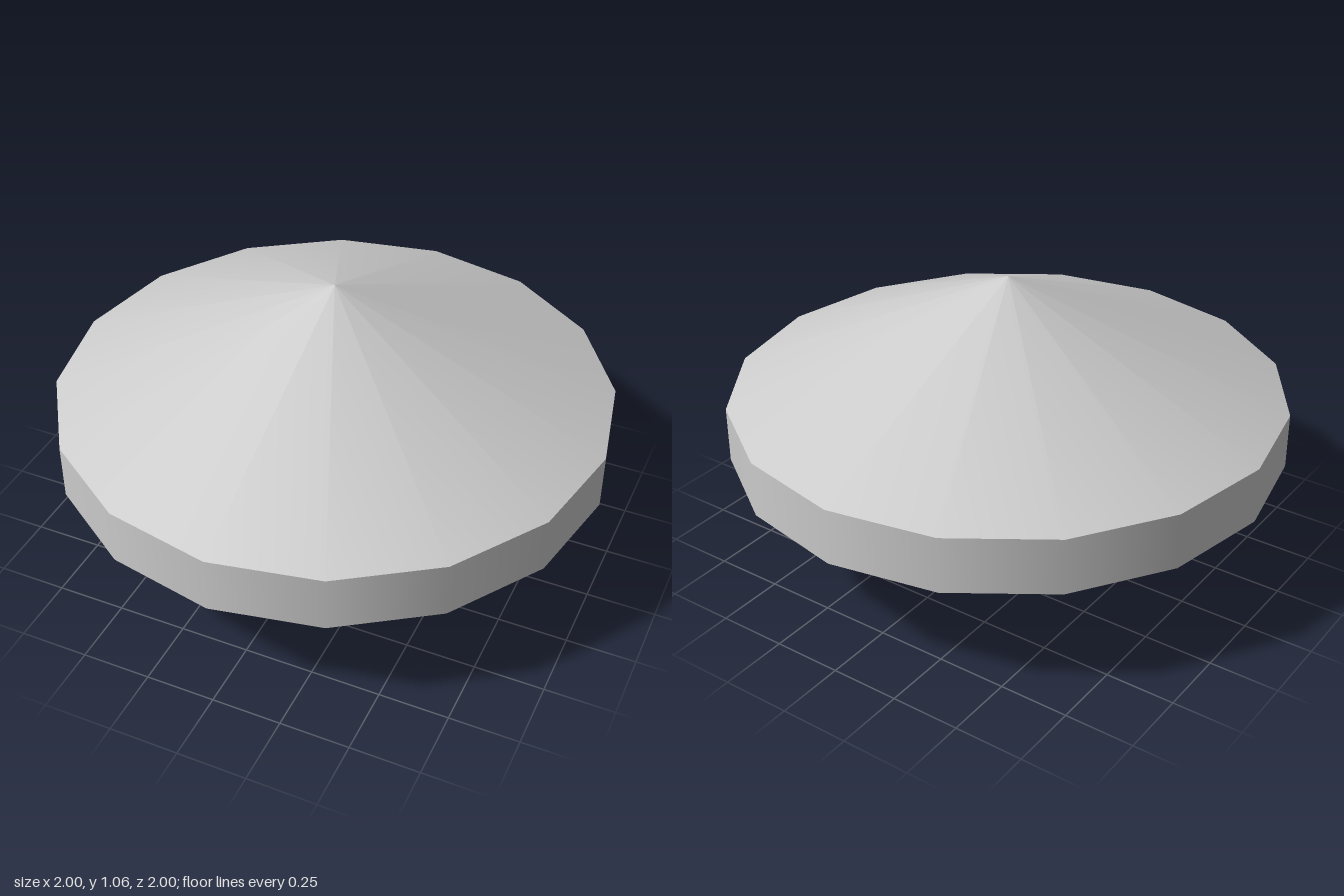
import * as THREE from 'three';

const SIDES = 16;
const RADIUS = 1;
const CONE_HEIGHT = 0.43;
const BAND_HEIGHT = 0.203;

export function createModel() {
  const group = new THREE.Group();
  group.name = 'doubleCone';
  const material = new THREE.MeshStandardMaterial({ color: 0xcccccc });

  // Open-ended smooth sections, stacked upwards from the ground
  let base = 0;
  function addSection(name, topRadius, bottomRadius, height) {
    const geometry = new THREE.CylinderGeometry(topRadius, bottomRadius, height, SIDES, 1, true);
    const mesh = new THREE.Mesh(geometry, material);
    mesh.name = name;
    mesh.position.y = base + height / 2;
    base += height;
    group.add(mesh);
  }

  addSection('lowerCone', RADIUS, 0, CONE_HEIGHT);
  addSection('rimBand', RADIUS, RADIUS, BAND_HEIGHT);
  addSection('upperCone', 0, RADIUS, CONE_HEIGHT);

  return group;
}
